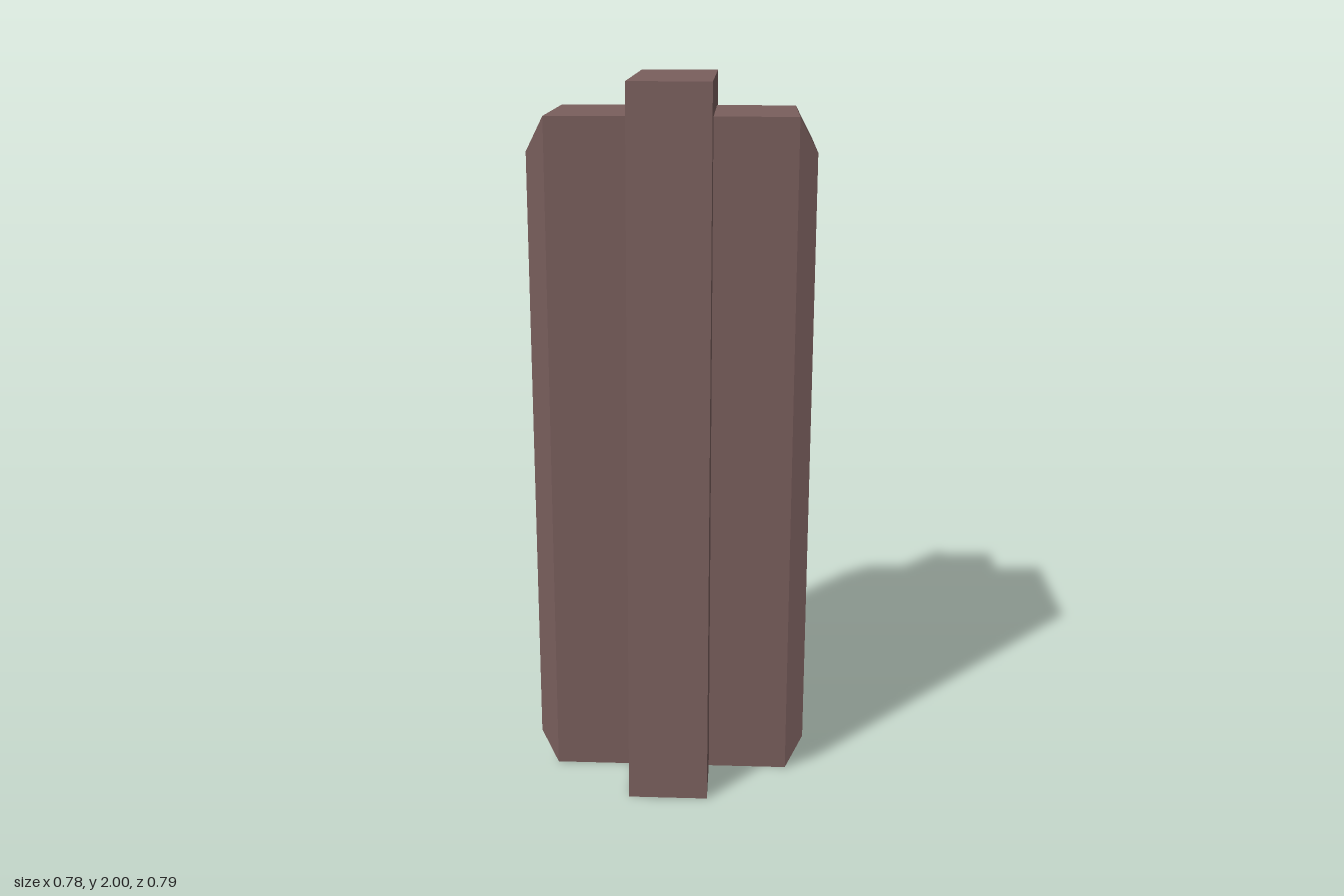
import * as THREE from 'three';

const material = new THREE.MeshStandardMaterial({ color: 0x7a5f5d, flatShading: true });

// Box standing on y = 0 whose vertices are moved by a rule
function shapedBox(name, geometry, height, rule) {
  geometry.translate(0, height / 2, 0);
  const pos = geometry.attributes.position;
  const v = new THREE.Vector3();
  for (let i = 0; i < pos.count; i++) {
    rule(v.fromBufferAttribute(pos, i));
    pos.setXYZ(i, v.x, v.y, v.z);
  }
  geometry.computeVertexNormals();
  const mesh = new THREE.Mesh(geometry, material);
  mesh.name = name;
  return mesh;
}

export function createModel() {
  const group = new THREE.Group();
  group.name = 'pillar';

  // Central slab, tapering in depth towards the top
  group.add(shapedBox('taperedSlab', new THREE.BoxGeometry(0.224, 2, 0.786), 2, (v) => {
    if (v.y > 1) v.z = Math.sign(v.z) * 0.3;
  }));

  // Wide block crossing the slab, bevelled around both outer ends
  const height = 1.905;
  group.add(shapedBox('bevelledBlock', new THREE.BoxGeometry(0.778, height, 0.41, 3, 1, 1), height, (v) => {
    if (Math.abs(v.x) > 0.3) {
      v.y = v.y > 1 ? height - 0.095 : 0.095;
      v.z = Math.sign(v.z) * 0.185;
    } else {
      v.x = Math.sign(v.x) * 0.339;
    }
  }));

  return group;
}
